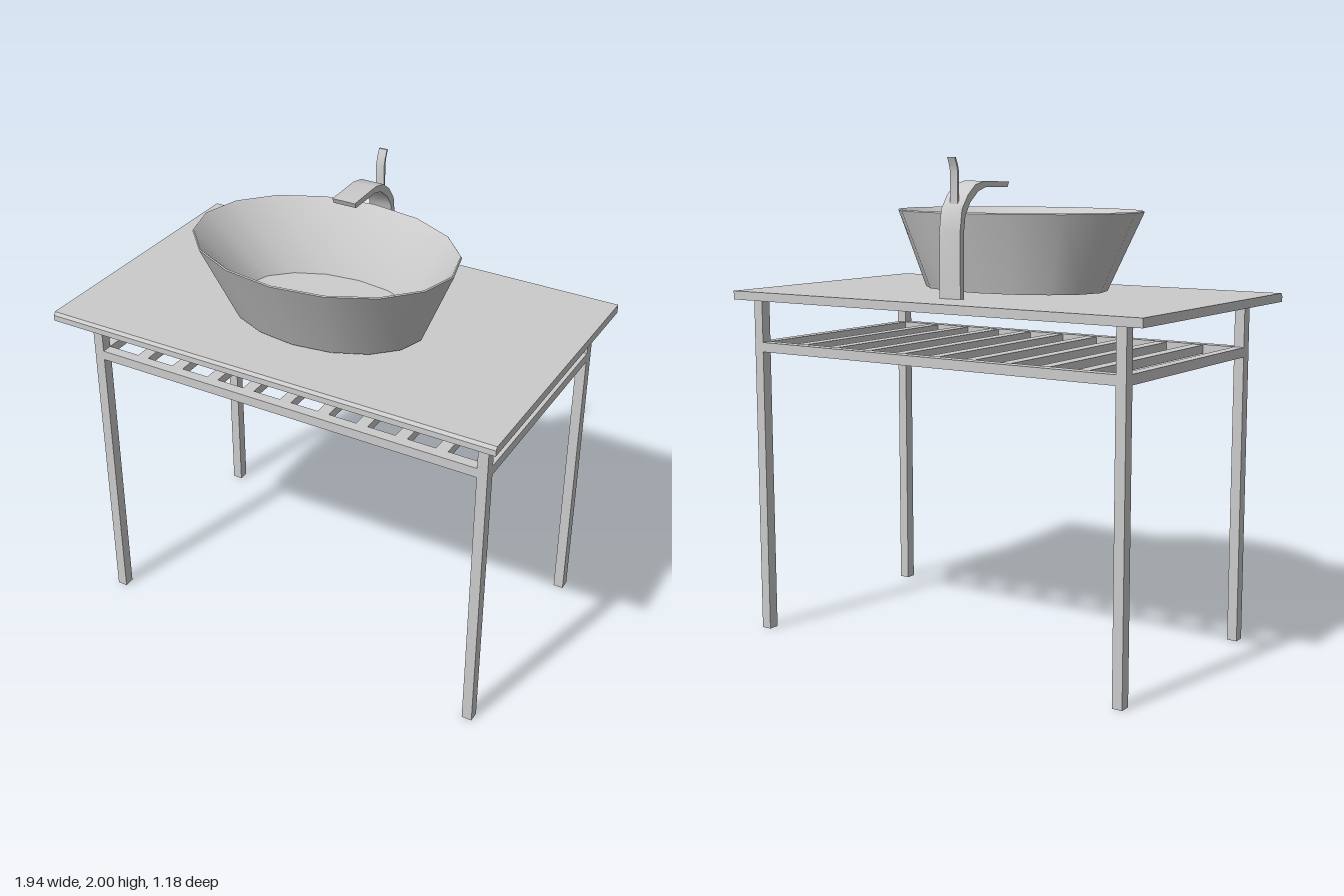
import * as THREE from 'three';
import { toCreasedNormals } from 'three/addons/utils/BufferGeometryUtils.js';

const material = new THREE.MeshStandardMaterial({ color: 0xcccccc });

function add(parent, name, geometry, x = 0, y = 0, z = 0) {
  const mesh = new THREE.Mesh(geometry, material);
  mesh.name = name;
  mesh.position.set(x, y, z);
  parent.add(mesh);
  return mesh;
}

// Box given by its minimum and maximum on each axis
function addBox(parent, name, [x0, x1], [y0, y1], [z0, z1]) {
  return add(parent, name, new THREE.BoxGeometry(x1 - x0, y1 - y0, z1 - z0),
    (x0 + x1) / 2, (y0 + y1) / 2, (z0 + z1) / 2);
}

// Side profile of [z, y] points, extruded along x and centred
function sideExtrude(points, width) {
  const shape = new THREE.Shape(points.map(([z, y]) => new THREE.Vector2(-z, y)));
  const geometry = new THREE.ExtrudeGeometry(shape, { depth: width, bevelEnabled: false });
  geometry.translate(0, 0, -width / 2);
  geometry.rotateY(Math.PI / 2);
  return toCreasedNormals(geometry, 0.5);
}

// Closed shell through elliptical rings [y, radiusX, radiusZ, centreZ]
function ellipseLoft(rings, segments) {
  const geometry = new THREE.LatheGeometry(rings.map((r, i) => new THREE.Vector2(1, i)), segments);
  const position = geometry.attributes.position;
  for (let k = 0; k < position.count; k++) {
    const [y, rx, rz, cz] = rings[k % rings.length];
    const angle = Math.floor(k / rings.length) / segments * Math.PI * 2;
    position.setXYZ(k, rx * Math.sin(angle), y, cz + rz * Math.cos(angle));
  }
  return toCreasedNormals(geometry, 0.7);
}

export function createModel() {
  const model = new THREE.Group();
  model.name = 'washstand';

  // Countertop with a softened front edge
  add(model, 'countertop', sideExtrude([
    [-0.59, 1.414], [0.59, 1.414], [0.59, 1.438], [0.58, 1.45], [-0.59, 1.45],
  ], 1.94));

  // Legs, rails and slatted shelf
  const frame = new THREE.Group();
  frame.name = 'frame';
  model.add(frame);
  const front = [0.41, 0.455], back = [-0.555, -0.51], railY = [1.198, 1.238];
  for (const [side, xs] of [['left', [0.845, 0.888]], ['right', [-0.888, -0.845]]]) {
    addBox(frame, side + 'FrontLeg', xs, [0, 1.414], front);
    addBox(frame, side + 'BackLeg', xs, [0, 1.414], back);
    addBox(frame, side + 'Rail', xs, railY, [-0.51, 0.41]);
  }
  addBox(frame, 'frontRail', [-0.845, 0.845], railY, front);
  addBox(frame, 'backRail', [-0.845, 0.845], railY, back);
  for (let i = -4; i <= 4; i++) {
    const x = i * 0.17;
    addBox(frame, 'slat', [x - 0.025, x + 0.025], [1.2, 1.236], [-0.51, 0.41]);
  }

  // Oval vessel basin: underside, outer wall, rim, inner wall, floor
  add(model, 'basin', ellipseLoft([
    [1.46, 0, 0, 0.07],
    [1.46, 0.415, 0.278, 0.07],
    [1.78, 0.553, 0.403, 0.095],
    [1.785, 0.549, 0.4, 0.095],
    [1.78, 0.543, 0.394, 0.095],
    [1.495, 0.375, 0.245, 0.065],
    [1.48, 0, 0, 0.1],
  ], 16));

  // Drain ring with a domed plug
  add(model, 'drainRing', new THREE.CylinderGeometry(0.052, 0.06, 0.02, 8), 0, 1.491, 0.12);
  const plug = add(model, 'drainPlug',
    new THREE.SphereGeometry(0.045, 8, 4, 0, Math.PI * 2, 0, Math.PI / 2), 0, 1.5, 0.12);
  plug.scale.y = 0.4;

  // Arched flat spout and its lever
  const faucet = new THREE.Group();
  faucet.name = 'faucet';
  model.add(faucet);
  add(faucet, 'spout', sideExtrude([
    [-0.39, 1.45], [-0.39, 1.71], [-0.376, 1.8], [-0.335, 1.855], [-0.285, 1.893],
    [-0.22, 1.907], [-0.05, 1.902], [-0.06, 1.88], [-0.215, 1.882], [-0.265, 1.868],
    [-0.32, 1.825], [-0.353, 1.775], [-0.365, 1.7], [-0.365, 1.45],
  ], 0.1));
  add(faucet, 'lever', sideExtrude([
    [-0.362, 1.8], [-0.359, 1.94], [-0.366, 1.97], [-0.379, 2.0], [-0.371, 2.0],
    [-0.357, 1.97], [-0.349, 1.94], [-0.35, 1.8],
  ], 0.036));

  return model;
}
